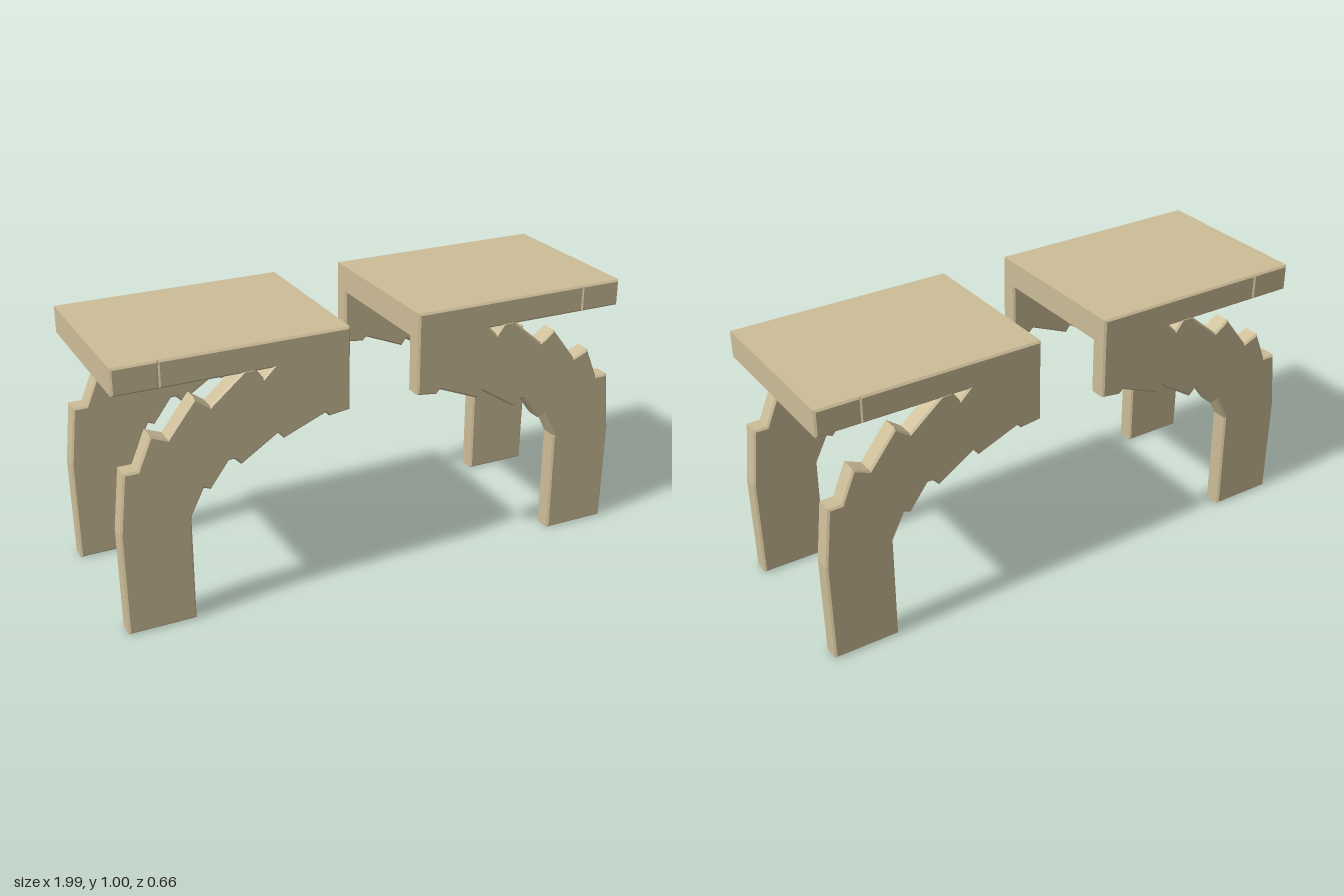
import * as THREE from 'three';

const BEVEL = 0.007;
const HALF_DEPTH = 0.33;
const LEG_THICKNESS = 0.072;

// Stepped arch leg, from the inner foot round the outside to the crown and back
const LEG = [
  [0.74, 0], [0.99, 0], [0.995, 0.39], [0.97, 0.62], [0.92, 0.62], [0.87, 0.74],
  [0.81, 0.715], [0.71, 0.845], [0.655, 0.805], [0.53, 0.91], [0.49, 0.91],
  [0.46, 0.87], [0.42, 0.91], [0.40, 0.93], [0.135, 0.93], [0.135, 0.69],
  [0.215, 0.68], [0.23, 0.695], [0.39, 0.63], [0.41, 0.655], [0.55, 0.565],
  [0.575, 0.59], [0.595, 0.59], [0.665, 0.495], [0.69, 0.505], [0.74, 0.405],
];

// Chamfered extrusion of an outline between two depths, mirrored in x by side
function chamferedSolid(outline, side, z0, z1) {
  const shape = new THREE.Shape(outline.map(([x, y]) => new THREE.Vector2(side * x, y)));
  const geometry = new THREE.ExtrudeGeometry(shape, {
    depth: z1 - z0 - 2 * BEVEL,
    bevelEnabled: true,
    bevelThickness: BEVEL,
    bevelSize: BEVEL,
    bevelOffset: -BEVEL,
    bevelSegments: 1,
  });
  return geometry.translate(0, 0, z0 + BEVEL);
}

const slab = (x0, x1) => [[x0, 0.9], [x1, 0.9], [x1, 1], [x0, 1]];

export function createModel() {
  const model = new THREE.Group();
  model.name = 'splitArchTable';
  const material = new THREE.MeshStandardMaterial({ color: 0xcdbd98, flatShading: true });

  for (const side of [1, -1]) {
    const half = new THREE.Group();
    half.name = side > 0 ? 'leftHalf' : 'rightHalf';
    const add = (name, outline, z0, z1) => {
      const mesh = new THREE.Mesh(chamferedSolid(outline, side, z0, z1), material);
      mesh.name = name;
      half.add(mesh);
    };

    // Top slab with a fine seam near its outer end
    add('topSlab', slab(0.135, 0.829), -HALF_DEPTH, HALF_DEPTH);
    add('topSlabEnd', slab(0.826, 0.99), -HALF_DEPTH, HALF_DEPTH);

    // Front and back arch legs
    add('frontLeg', LEG, HALF_DEPTH - LEG_THICKNESS, HALF_DEPTH);
    add('backLeg', LEG, -HALF_DEPTH, -HALF_DEPTH + LEG_THICKNESS);
    model.add(half);
  }
  return model;
}
